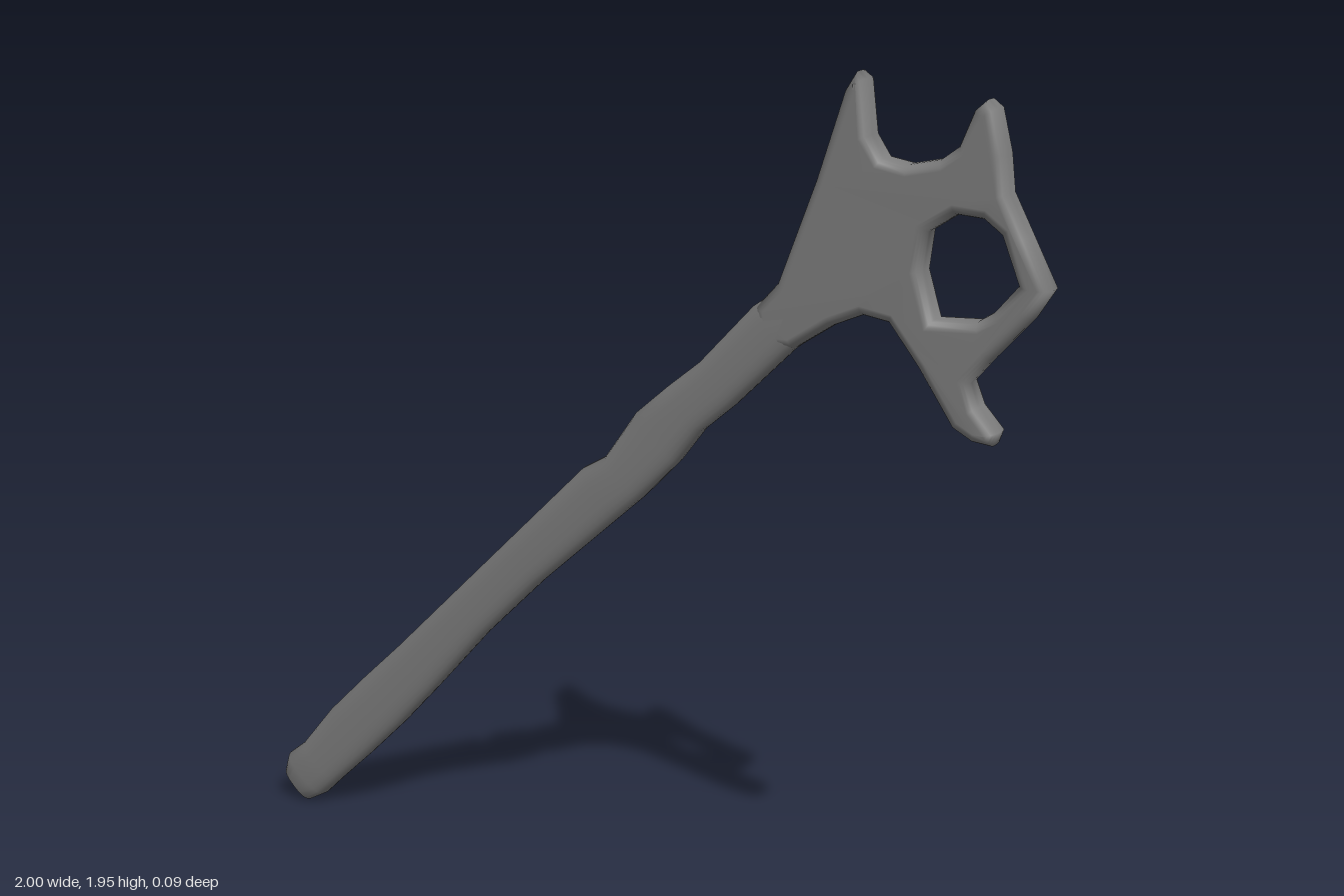
import * as THREE from 'three';
import { mergeVertices } from 'three/addons/utils/BufferGeometryUtils.js';

const material = new THREE.MeshStandardMaterial({ color: 0x7e7e7e });

// Handle stations: upper edge x, y, lower edge x, y, half depth
const STATIONS = [
  [-0.982, 0.05, -0.95, 0.015, 0.026],
  [-0.998, 0.075, -0.925, 0.0, 0.036],
  [-0.985, 0.12, -0.88, 0.025, 0.041],
  [-0.935, 0.16, -0.835, 0.07, 0.042],
  [-0.845, 0.27, -0.74, 0.16, 0.042],
  [-0.74, 0.375, -0.635, 0.265, 0.042],
  [-0.63, 0.48, -0.53, 0.38, 0.042],
  [-0.47, 0.64, -0.38, 0.55, 0.042],
  [-0.31, 0.80, -0.22, 0.71, 0.042],
  [-0.10, 1.01, -0.005, 0.905, 0.044],
  [-0.04, 1.045, 0.05, 0.955, 0.045],
  [0.04, 1.16, 0.145, 1.055, 0.044],
  [0.12, 1.23, 0.205, 1.135, 0.043],
  [0.20, 1.295, 0.28, 1.20, 0.043],
  [0.33, 1.435, 0.42, 1.34, 0.043],
  [0.40, 1.485, 0.50, 1.405, 0.041],
  [0.48, 1.53, 0.55, 1.46, 0.034],
];

// Loft of rounded-box sections along the stations, closed at both ends
function handleGeometry(sides = 24) {
  const positions = [], index = [];
  const soften = (v) => Math.sign(v) * Math.pow(Math.abs(v), 2 / 3);
  for (const [ux, uy, lx, ly, depth] of STATIONS) {
    for (let j = 0; j < sides; j++) {
      const a = (j / sides) * Math.PI * 2;
      const c = soften(Math.cos(a)) / 2, s = soften(Math.sin(a));
      positions.push((ux + lx) / 2 + (lx - ux) * c, (uy + ly) / 2 + (ly - uy) * c, depth * s);
    }
  }
  const last = STATIONS.length - 1;
  for (const i of [0, last]) {
    const [ux, uy, lx, ly] = STATIONS[i];
    positions.push((ux + lx) / 2, (uy + ly) / 2, 0);
  }
  const startCentre = STATIONS.length * sides;
  for (let j = 0; j < sides; j++) {
    const k = (j + 1) % sides;
    for (let i = 0; i < last; i++) {
      const a = i * sides + j, b = i * sides + k;
      index.push(a, a + sides, b, b, a + sides, b + sides);
    }
    index.push(startCentre, j, k);
    index.push(startCentre + 1, last * sides + k, last * sides + j);
  }
  const geometry = new THREE.BufferGeometry();
  geometry.setAttribute('position', new THREE.Float32BufferAttribute(positions, 3));
  geometry.setIndex(index);
  geometry.computeVertexNormals();
  return geometry;
}

const toPoints = (list) => list.map(([x, y]) => new THREE.Vector2(x, y));

// Flat head with horns, a lower prong and a ring opening, edges rounded inward
function headGeometry() {
  const outline = new THREE.Shape(toPoints([
    // root, sunk inside the handle
    [0.35, 1.35], [0.43, 1.35], [0.52, 1.41], [0.59, 1.44], [0.65, 1.43],
    // lower prong
    [0.72, 1.34], [0.80, 1.22], [0.845, 1.195], [0.89, 1.19], [0.90, 1.22],
    [0.855, 1.27], [0.835, 1.32], [0.88, 1.375],
    // outer side of the ring
    [0.96, 1.465], [1.0, 1.53], [0.945, 1.635], [0.90, 1.72],
    // outer horn
    [0.89, 1.80], [0.867, 1.89], [0.845, 1.907], [0.82, 1.885], [0.79, 1.81],
    // dip between the horns
    [0.75, 1.78], [0.68, 1.765], [0.625, 1.775], [0.595, 1.82],
    // inner horn
    [0.58, 1.935], [0.56, 1.95], [0.535, 1.91], [0.475, 1.72], [0.39, 1.49],
    [0.34, 1.435],
  ]));
  outline.holes.push(new THREE.Path(toPoints([
    [0.72, 1.545], [0.73, 1.63], [0.79, 1.67], [0.85, 1.665], [0.89, 1.635],
    [0.93, 1.535], [0.88, 1.475], [0.845, 1.452], [0.75, 1.447],
  ])));
  const raw = new THREE.ExtrudeGeometry(outline, {
    depth: 0.024, bevelThickness: 0.03, bevelSize: 0.022, bevelOffset: -0.022, bevelSegments: 5,
  });
  raw.translate(0, 0, -0.012);
  raw.deleteAttribute('uv');
  raw.deleteAttribute('normal');
  const geometry = mergeVertices(raw, 1e-5);
  geometry.computeVertexNormals();
  return geometry;
}

export function createModel() {
  const group = new THREE.Group();
  group.name = 'staff';
  const parts = { handle: handleGeometry(), hornedHead: headGeometry() };
  for (const [name, geometry] of Object.entries(parts)) {
    const mesh = new THREE.Mesh(geometry, material);
    mesh.name = name;
    group.add(mesh);
  }
  return group;
}
